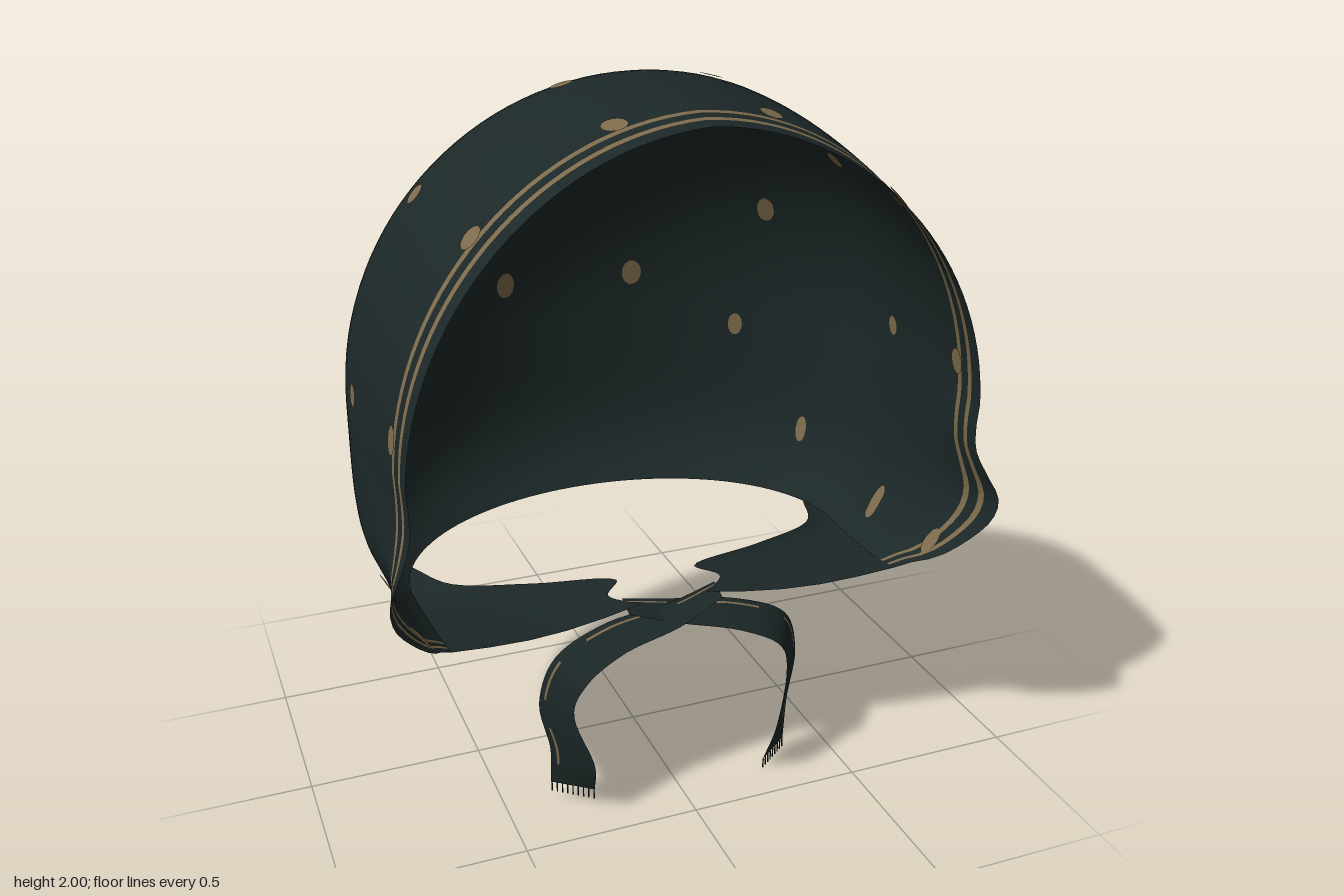
import * as THREE from 'three';

const mat = (name, color) => {
  const m = new THREE.MeshStandardMaterial({ color, side: THREE.DoubleSide });
  m.name = name;
  return m;
};

// Smooth curve through evenly spaced values, from temple level (0) to bottom edge (1)
const smooth = (values) => new THREE.SplineCurve(values.map((v, i) => new THREE.Vector2(i, v)));
const RIM_Z = smooth([0, 0, 0.005, 0.025, 0.04, 0.03, -0.005, -0.06, -0.16]);
const RIM_X = smooth([0, -0.005, 0, 0.03, 0.066, 0.066, 0.04, 0.015, 0.01]);

// Hood surface. v: -1 front rim, 0 widest slice, 1 back pole.
// c: -1 right bottom edge, 0 crown, 1 left bottom edge.
function hoodPoint(v, c) {
  const s = Math.max(0, -v), a = Math.max(0, v) * Math.PI / 2;
  const w = 0.807 * Math.cos(a) - 0.025 * s;
  const h = 0.85 * Math.cos(a) - 0.06 * s * s;
  let z = 0.56 * s - 0.59 * Math.sin(a);
  const side = Math.sign(c), k = Math.abs(c);
  if (k <= 0.6) {
    const t = (1 - k / 0.6) * Math.PI / 2;
    const tuck = 1 - 0.025 * s * s * Math.sin(2 * t);
    z += (s > 0 ? 0.08 - 0.115 * s : 0.08 * (1 - Math.sin(a))) * Math.sin(t) ** 2;
    return new THREE.Vector3(side * w * tuck * Math.cos(t), 1.15 + h * tuck * Math.sin(t), z);
  }
  const d = (k - 0.6) / 0.4;
  const x = w * (1 - 0.17 * d ** 5) + RIM_X.getPoint(d).y * s ** 3;
  z = (s > 0 ? z : z * (1 - 0.23 * d ** 5)) + RIM_Z.getPoint(d).y * s;
  const drop = 0.582 - 0.034 * (Math.sin(a) + s ** 3);
  return new THREE.Vector3(side * x, 1.15 - drop * d, z);
}

// Grid surface; isTrim(i, j) sends a cell to the second material
function gridGeometry(rows, cols, point, isTrim = () => false) {
  const pos = [], cloth = [], trim = [];
  for (let i = 0; i <= rows; i++)
    for (let j = 0; j <= cols; j++) pos.push(...point(i, j).toArray());
  for (let i = 0; i < rows; i++)
    for (let j = 0; j < cols; j++) {
      const p = i * (cols + 1) + j, q = p + cols + 1;
      (isTrim(i, j) ? trim : cloth).push(p, p + 1, q, p + 1, q + 1, q);
    }
  const g = new THREE.BufferGeometry();
  g.setAttribute('position', new THREE.Float32BufferAttribute(pos, 3));
  g.setIndex([...cloth, ...trim]);
  g.addGroup(0, cloth.length, 0);
  g.addGroup(cloth.length, trim.length, 1);
  g.computeVertexNormals();
  return g;
}

export function createModel() {
  const cloth = mat('dark teal cloth', 0x1c2727);
  const tan = mat('tan trim', 0x7c6a4b);
  const model = new THREE.Group();
  model.name = 'bonnet';
  const add = (name, geometry, material, parent = model) => {
    const m = new THREE.Mesh(geometry, material);
    m.name = name;
    parent.add(m);
    return m;
  };

  // Hood with two stripes behind the front rim
  const slices = [-1, -0.916, -0.882, -0.823, -0.788, -0.72, -0.64, -0.5, -0.36, -0.24, -0.12];
  for (let i = 0; i <= 28; i++) slices.push(i / 28);
  const COLS = 100;
  add('hood', gridGeometry(slices.length - 1, COLS,
    (i, j) => hoodPoint(slices[i], j / COLS * 2 - 1),
    (i) => i === 1 || i === 3), [cloth, tan]);

  // Flaps folded under the chin, with a hooked inner corner behind each tie
  for (const side of [1, -1]) {
    const inner = new THREE.CatmullRomCurve3([
      ...[[0.1, 0.59, 0.32], [0.17, 0.595, 0.25], [0.12, 0.6, 0.18], [0.35, 0.602, 0.12],
        [0.56, 0.595, 0.03]].map(([x, y, z]) => new THREE.Vector3(side * x, y, z)),
      hoodPoint(0.2, side)]);
    add(side > 0 ? 'leftChinFlap' : 'rightChinFlap', gridGeometry(30, 5, (i, j) => {
      const t = i / 30, f = j / 5;
      const p = hoodPoint(-1 + 1.2 * t, side).lerp(inner.getPoint(t), f);
      p.y -= 0.025 * Math.sin(Math.PI * f) * (1 - t);
      return p;
    }), cloth);
  }

  // Dots on both faces of the cloth at the nearest surface point: x, y, z, width, height
  const dots = new THREE.Group();
  dots.name = 'dots';
  model.add(dots);
  const spots = [
    [0.21, 1.27, -0.57, 0.031, 0.041], [0.22, 1.78, -0.37, 0.03, 0.036],
    [0.58, 1.5, -0.36, 0.028, 0.042], [0.51, 1.09, -0.43, 0.023, 0.036],
    [0.69, 0.77, -0.27, 0.018, 0.042], [0.8, 1.22, 0.07, 0.027, 0.031],
    [0.62, 1.74, 0.03, 0.03, 0.03], [0.21, 1.98, 0.03, 0.031, 0.031],
    [0.73, 0.68, 0.12, 0.025, 0.056], [0.2, 1.95, 0.415, 0.036, 0.03],
    [0.57, 1.72, 0.43, 0.03, 0.034], [0.79, 1.23, 0.44, 0.028, 0.038],
    [0.73, 0.7, 0.435, 0.027, 0.042]];
  const disc = new THREE.CircleGeometry(1, 14);
  for (const [x, y, z, width, height] of spots) {
    const target = new THREE.Vector3(x, y, z);
    let best = 9, bv = 0, bc = 0;
    for (let v = -0.98; v < 0.98; v += 0.01)
      for (let c = 0.02; c < 0.98; c += 0.01) {
        const d = hoodPoint(v, c).distanceTo(target);
        if (d < best) [best, bv, bc] = [d, v, c];
      }
    const e = 0.01, p = hoodPoint(bv, bc);
    const n = hoodPoint(bv + e, bc).sub(hoodPoint(bv - e, bc))
      .cross(hoodPoint(bv, bc + e).sub(hoodPoint(bv, bc - e))).normalize();
    for (const side of [1, -1])
      for (const offset of [0.005, -0.005]) {
        const m = add('dot', disc, tan, dots);
        const normal = new THREE.Vector3(side * n.x, n.y, n.z);
        m.position.set(side * p.x, p.y, p.z).addScaledVector(normal, offset);
        m.lookAt(normal.add(m.position));
        m.scale.set(width, height, 1);
      }
  }

  // Crossed ribbon ties with a thin trim line and a frayed end
  for (const side of [1, -1]) {
    const drop = side > 0 ? 0.03 : 0;
    const curve = (pts) => new THREE.CatmullRomCurve3(
      pts.map(([x, y, z]) => new THREE.Vector3(-side * x, y, z)));
    const path = curve([[-0.14, 0.585, 0.31], [0, 0.55, 0.33 + side * 0.01], [0.19, 0.515, 0.35],
      [0.32, 0.45, 0.365], [0.36, 0.33, 0.35], [0.325, 0.18, 0.375], [0.315, 0.03 + drop, 0.345]]);
    const half = curve([[0, 0.01, -0.03], [0.004, 0.02, -0.035], [0.012, 0.026, -0.045],
      [0.03, 0.022, -0.048], [0.036, 0.004, -0.045], [0.045, 0, -0.06], [0.052, 0, -0.04]]);
    const at = (t, f) => path.getPoint(t).addScaledVector(half.getPoint(t), f);
    const group = new THREE.Group();
    group.name = side > 0 ? 'leftTie' : 'rightTie';
    model.add(group);
    const across = [-1, -0.4, 0.2, 0.62, 0.74, 1];
    add('ribbon', gridGeometry(40, 5, (i, j) => at(i / 40, across[j]),
      (i, j) => j === 3 && i % 10 < 6), [cloth, tan], group);
    const thread = new THREE.BoxGeometry(0.003, 0.03, 0.003);
    for (let i = 0; i < 9; i++)
      add('fringeThread', thread, cloth, group).position.copy(at(1, -0.96 + i * 0.24)).y -= 0.015;
  }
  return model;
}
